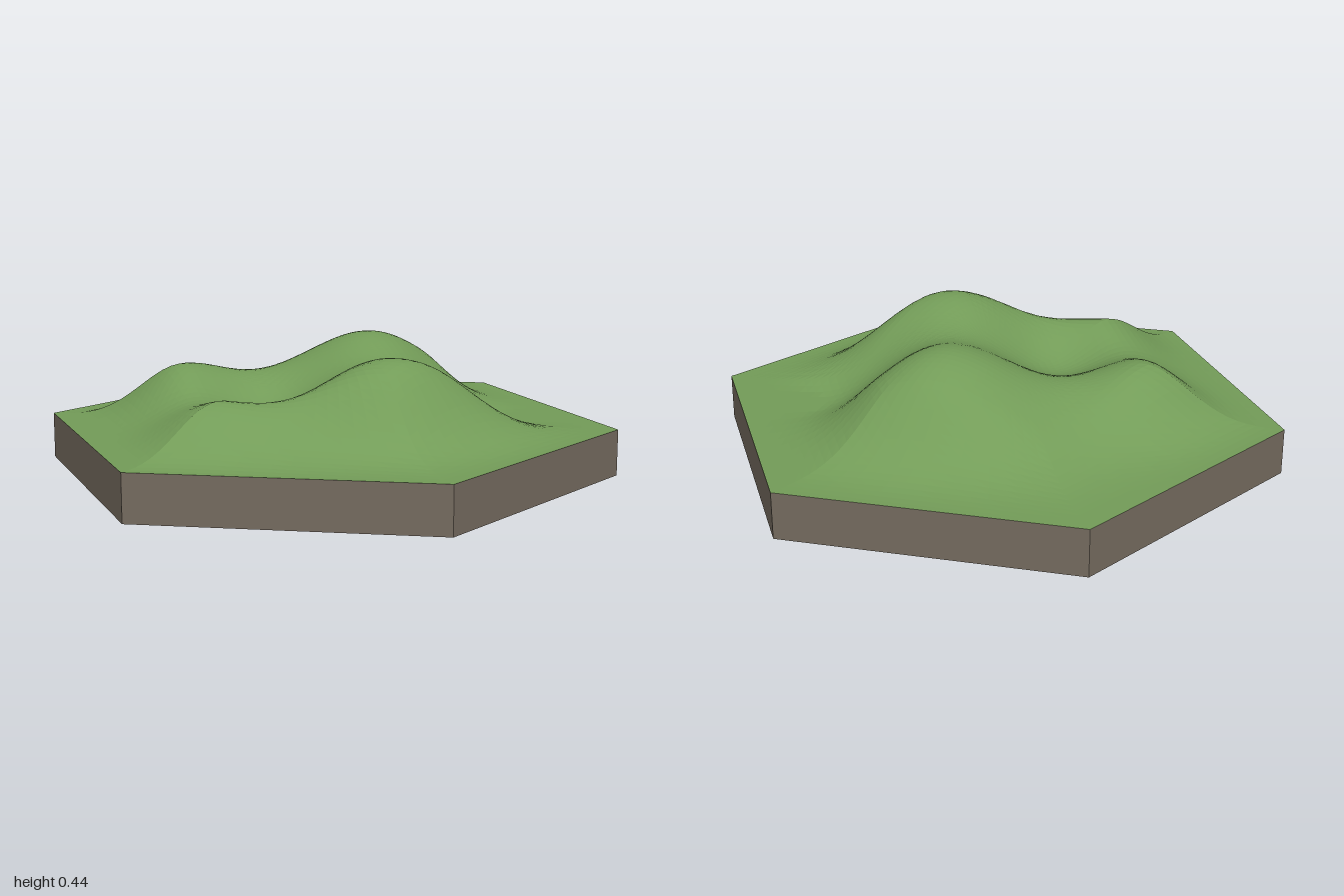
import * as THREE from 'three';

const BASE = 0.16;
const RINGS = 32;
const SIDE_STEPS = 16;

// Hills and hollows: x, z, height, spread
const BUMPS = [
  [-0.03, -0.30, 0.285, 0.155], // back hill
  [0.37, 0.20, 0.225, 0.09],    // left hill
  [-0.47, 0.27, 0.18, 0.09],    // right hill
  [0.02, 0.70, 0.175, 0.12],    // front hump
  [0.60, -0.05, 0.10, 0.07],    // side ridge
  [-0.06, 0.24, -0.06, 0.05],   // central hollow
  [0.36, -0.40, -0.09, 0.06],   // back hollow
];

// Corner k of the hexagon, starting at the front
const corner = (k) => {
  const a = (k * Math.PI) / 3;
  return new THREE.Vector2(Math.sin(a), Math.cos(a));
};

// Terrain height, fading to the base at the hexagon's rim (d = 1)
function heightAt(x, z, d) {
  const fade = THREE.MathUtils.smoothstep(1 - d, 0, 0.5);
  let h = 0;
  for (const [bx, bz, amp, spread] of BUMPS) {
    h += amp * Math.exp(-((x - bx) ** 2 + (z - bz) ** 2) / spread);
  }
  return BASE + fade * Math.max(h, 0);
}

// Concentric hexagonal rings lifted by the height rule
function terrainGeometry() {
  const segs = 6 * SIDE_STEPS;
  const positions = [0, heightAt(0, 0, 0), 0];
  const index = [];
  for (let r = 1; r <= RINGS; r++) {
    const d = r / RINGS;
    for (let s = 0; s < segs; s++) {
      const k = Math.floor(s / SIDE_STEPS);
      const p = corner(k).lerp(corner(k + 1), (s % SIDE_STEPS) / SIDE_STEPS).multiplyScalar(d);
      positions.push(p.x, heightAt(p.x, p.y, d), p.y);
    }
  }
  const id = (r, s) => (r === 0 ? 0 : 1 + (r - 1) * segs + (s % segs));
  for (let r = 0; r < RINGS; r++) {
    for (let s = 0; s < segs; s++) {
      index.push(id(r, s), id(r + 1, s), id(r + 1, s + 1));
      if (r > 0) index.push(id(r, s), id(r + 1, s + 1), id(r, s + 1));
    }
  }
  const geo = new THREE.BufferGeometry();
  geo.setAttribute('position', new THREE.Float32BufferAttribute(positions, 3));
  geo.setIndex(index);
  geo.computeVertexNormals();
  return geo;
}

export function createModel() {
  const grass = new THREE.MeshStandardMaterial({ color: 0x739c58, flatShading: true });
  grass.name = 'grass';
  const earth = new THREE.MeshStandardMaterial({ color: 0x766c60, flatShading: true });
  earth.name = 'earth';

  const group = new THREE.Group();
  group.name = 'hillTile';

  // Hexagonal slab, open on top where the terrain covers it
  const slab = new THREE.Mesh(new THREE.CylinderGeometry(1, 1, BASE, 6, 1, true), earth);
  slab.name = 'slabSides';
  slab.position.y = BASE / 2;
  group.add(slab);

  const underside = new THREE.Mesh(new THREE.CircleGeometry(1, 6, Math.PI / 2), earth);
  underside.name = 'slabUnderside';
  underside.rotation.x = Math.PI / 2;
  group.add(underside);

  const hills = new THREE.Mesh(terrainGeometry(), grass);
  hills.name = 'grassyHills';
  group.add(hills);

  return group;
}
